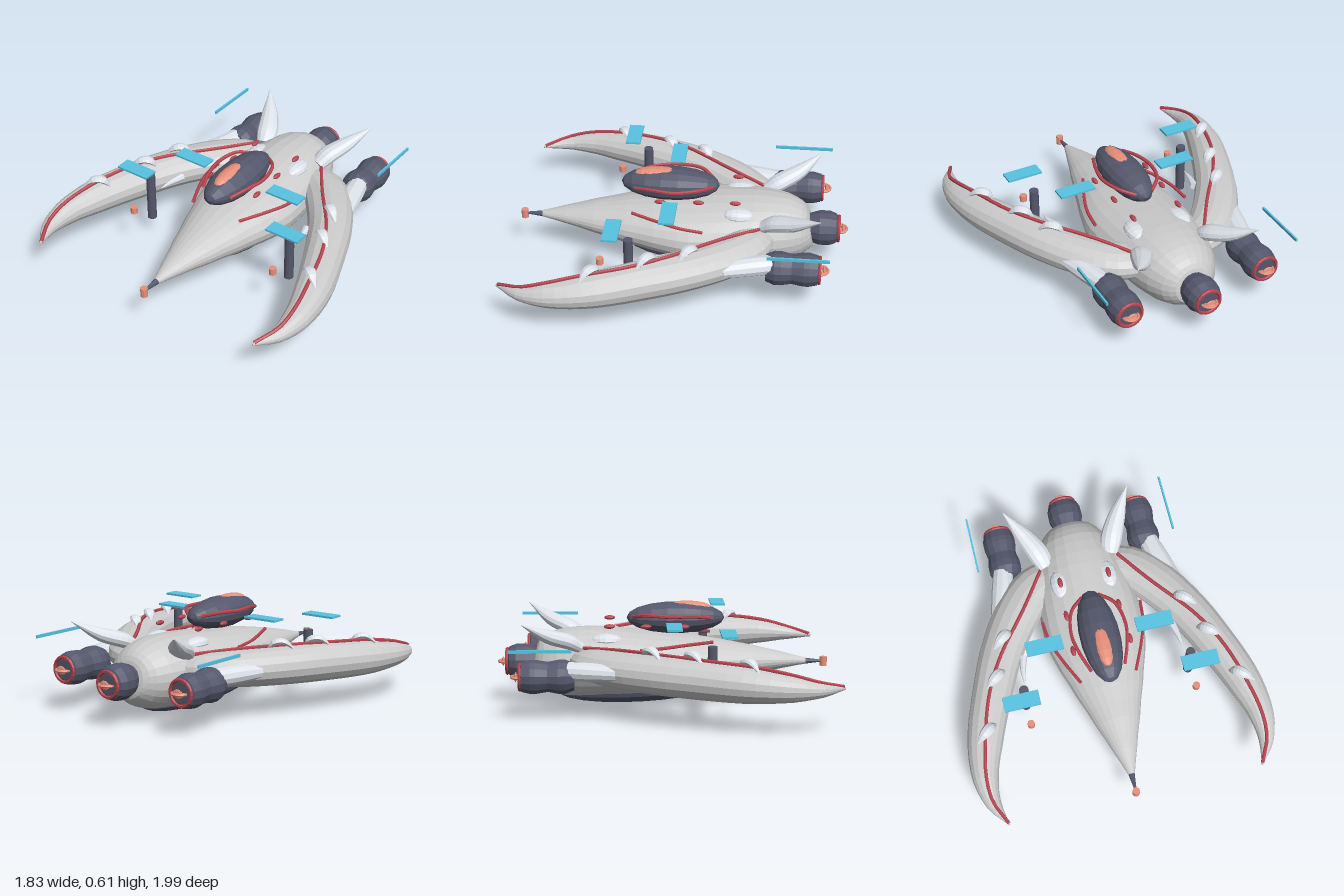
import * as THREE from 'three';

const mat = (color) => new THREE.MeshStandardMaterial({ color, flatShading: true, side: THREE.DoubleSide });
const grey = mat(0xcccccc), pale = mat(0xdde2ea), dark = mat(0x55586c);
const red = mat(0xb5444f), orange = mat(0xe8907a), blue = mat(0x58c4e4);
const V = (x, y, z) => new THREE.Vector3(x, y, z);

// Smooth loft of elliptical sections; each row is [x, y, z, halfWidth, halfHeight]
function loft(rows, steps, sides) {
  const path = new THREE.CatmullRomCurve3(rows.map((r) => V(r[0], r[1], r[2])));
  const size = new THREE.CatmullRomCurve3(rows.map((r) => V(r[3], r[4], 0)), false, 'catmullrom', 0.4);
  const pos = [], idx = [];
  for (let i = 0; i <= steps; i++) {
    const p = path.getPoint(i / steps), t = path.getTangent(i / steps);
    const s = size.getPoint(i / steps);
    const right = V(0, 1, 0).cross(t).normalize(), up = t.clone().cross(right);
    for (let j = 0; j < sides; j++) {
      const a = (j / sides) * Math.PI * 2;
      const q = p.clone()
        .addScaledVector(right, Math.cos(a) * Math.max(s.x, 0.002))
        .addScaledVector(up, Math.sin(a) * Math.max(s.y, 0.002));
      pos.push(q.x, q.y, q.z);
    }
  }
  const first = path.getPoint(0), last = path.getPoint(1), c = (steps + 1) * sides;
  pos.push(first.x, first.y, first.z, last.x, last.y, last.z);
  for (let j = 0; j < sides; j++) {
    const k = (j + 1) % sides, e = steps * sides;
    for (let i = 0; i < steps; i++) {
      const a = i * sides, b = a + sides;
      idx.push(a + j, a + k, b + j, a + k, b + k, b + j);
    }
    idx.push(c, k, j, c + 1, e + j, e + k);
  }
  const g = new THREE.BufferGeometry();
  g.setAttribute('position', new THREE.Float32BufferAttribute(pos, 3));
  g.setIndex(idx);
  g.computeVertexNormals();
  return g;
}

export function createModel() {
  const model = new THREE.Group();
  const add = (name, geo, material, x = 0, y = 0, z = 0, parent = model) => {
    const m = new THREE.Mesh(geo, material);
    m.name = name;
    m.position.set(x, y, z);
    parent.add(m);
    return m;
  };
  const ellipsoid = (rx, ry, rz, n = 16) =>
    new THREE.SphereGeometry(1, n, Math.max(8, n * 0.6 | 0)).rotateX(Math.PI / 2).scale(rx, ry, rz);
  const tube = (pts, r) => new THREE.TubeGeometry(new THREE.CatmullRomCurve3(pts), 28, r, 6);

  // Hull stations: z, half width, top, bottom
  const hull = [
    [-0.79, 0.03, 0.28, 0.22], [-0.765, 0.12, 0.36, 0.13], [-0.7, 0.185, 0.41, 0.075],
    [-0.6, 0.235, 0.445, 0.045], [-0.45, 0.275, 0.457, 0.04], [-0.25, 0.3, 0.445, 0.055],
    [-0.05, 0.307, 0.425, 0.07], [0.1, 0.278, 0.41, 0.09], [0.28, 0.22, 0.385, 0.115],
    [0.5, 0.145, 0.345, 0.155], [0.7, 0.075, 0.3, 0.195], [0.86, 0.02, 0.26, 0.222],
  ].map(([z, w, t, b]) => [0, (t + b) / 2, z, w, (t - b) / 2]);
  add('hull', loft(hull, 24, 24), grey);
  add('belly', ellipsoid(0.165, 0.085, 0.49, 20), dark, 0, 0.086, -0.14).rotation.x = -0.05;

  // Nose probe
  add('noseSpike', new THREE.CylinderGeometry(0.006, 0.021, 0.12, 8).rotateX(Math.PI / 2), dark, 0, 0.24, 0.9);
  add('noseLamp', new THREE.CylinderGeometry(0.022, 0.022, 0.055, 10), orange, 0, 0.238, 0.97);

  // Cockpit
  add('canopy', ellipsoid(0.12, 0.096, 0.293, 16), dark, 0, 0.512, 0.075);
  add('canopyGlow', ellipsoid(0.055, 0.04, 0.15, 14), orange, 0, 0.572, 0.14);

  // Engine pod: body, ring and glowing nozzle, facing -z
  function engine(name, x, z, profile) {
    const g = new THREE.Group();
    g.name = name;
    g.position.set(x, 0.25, z);
    model.add(g);
    const pts = profile.map(([r, d]) => new THREE.Vector2(r, d));
    const end = profile[profile.length - 1][1];
    add('engineBody', new THREE.LatheGeometry(pts, 14).rotateX(-Math.PI / 2), dark, 0, 0, 0, g);
    add('engineRing', new THREE.TorusGeometry(0.074, 0.011, 6, 20), red, 0, 0, -end, g);
    for (const r of [0.044, 0.028])
      add('nozzleArc', new THREE.TorusGeometry(r, 0.008, 6, 12, Math.PI).rotateX(-Math.PI / 2),
        orange, 0, 0, -end - 0.006, g);
    add('nozzleCore', ellipsoid(0.035, 0.028, 0.008, 10), orange, 0, 0, -end - 0.025, g);
  }
  engine('centreEngine', 0, -0.76,
    [[0, 0], [0.085, 0], [0.105, 0.06], [0.105, 0.12], [0.09, 0.16], [0.06, 0.175], [0, 0.175]]);

  for (const s of [1, -1]) {
    const side = s > 0 ? 'left' : 'right';
    const P = (x, y, z) => V(x * s, y, z);
    const mirror = (rows) => rows.map(([x, ...rest]) => [x * s, ...rest]);

    // Crescent wing, with a tube along its crest
    const wing = [
      [0.17, 0.28, -0.45, 0.12, 0.08], [0.3, 0.285, -0.4, 0.135, 0.095], [0.43, 0.285, -0.27, 0.14, 0.105],
      [0.575, 0.285, -0.05, 0.13, 0.11], [0.69, 0.28, 0.2, 0.12, 0.11], [0.785, 0.27, 0.45, 0.108, 0.1],
      [0.835, 0.26, 0.67, 0.08, 0.075], [0.825, 0.25, 0.84, 0.047, 0.042], [0.76, 0.247, 0.99, 0.004, 0.008],
    ];
    add(side + 'Wing', loft(mirror(wing), 26, 16), grey);
    add(side + 'WingPiping', tube([
      P(0.24, 0.375, -0.47), P(0.39, 0.39, -0.25), P(0.6, 0.398, 0.03), P(0.71, 0.392, 0.24),
      P(0.79, 0.372, 0.5), P(0.83, 0.335, 0.7), P(0.825, 0.295, 0.84), P(0.762, 0.257, 0.98)], 0.011), red);

    // Curved claws hugging the wing crest
    for (const [x, y, z] of [[0.77, 0.365, 0.455], [0.65, 0.385, 0.15], [0.56, 0.39, -0.08]])
      add(side + 'WingClaw', loft(mirror([
        [x - 0.062, y - 0.015, z - 0.045, 0.006, 0.006], [x - 0.03, y + 0.03, z - 0.025, 0.032, 0.018],
        [x + 0.015, y + 0.035, z + 0.01, 0.03, 0.018], [x + 0.07, y - 0.015, z + 0.05, 0.003, 0.003]]), 10, 8), pale);
    const thorn = loft(mirror([[0.46, 0.3, 0.02, 0.025, 0.025], [0.48, 0.3, 0.11, 0.016, 0.016],
      [0.488, 0.3, 0.19, 0.002, 0.002]]), 6, 8);
    add(side + 'WingThorn', thorn, pale);

    // Rear horn
    add(side + 'Horn', loft(mirror([
      [0.2, 0.37, -0.49, 0.05, 0.035], [0.225, 0.41, -0.56, 0.065, 0.045],
      [0.29, 0.455, -0.68, 0.052, 0.04], [0.385, 0.54, -0.82, 0.003, 0.003]]), 12, 12), pale);

    // Side engine and its strut
    engine(side + 'Engine', 0.44 * s, -0.52, [[0, 0], [0.08, 0], [0.1, 0.05], [0.1, 0.09], [0.088, 0.15],
      [0.1, 0.22], [0.1, 0.25], [0.088, 0.3], [0.06, 0.31], [0, 0.31]]);
    add(side + 'EngineStrut', loft(mirror([[0.46, 0.285, -0.55, 0.06, 0.055], [0.49, 0.285, -0.42, 0.068, 0.055],
      [0.54, 0.285, -0.27, 0.055, 0.045]]), 6, 12), pale);

    // Blue panels and fin
    add(side + 'InnerPanel', new THREE.BoxGeometry(0.22, 0.012, 0.09), blue, 0.332 * s, 0.512, 0.057);
    add(side + 'OuterPanel', new THREE.BoxGeometry(0.215, 0.012, 0.09), blue, 0.535 * s, 0.512, 0.357);
    add(side + 'FinBar', new THREE.BoxGeometry(0.011, 0.018, 0.355), blue, 0.607 * s, 0.431, -0.705);

    // Posts and lamps
    add(side + 'Post', new THREE.CylinderGeometry(0.028, 0.028, 0.31, 12), dark, 0.505 * s, 0.28, 0.268);
    add(side + 'Lamp', new THREE.CylinderGeometry(0.022, 0.022, 0.04, 10), orange, 0.505 * s, 0.276, 0.435);

    // Red conduits around canopy and hull
    add(side + 'CanopyPiping', tube([P(0.1, 0.525, 0.28), P(0.14, 0.54, 0.17), P(0.163, 0.542, 0.04),
      P(0.13, 0.545, -0.1), P(0.05, 0.525, -0.18)], 0.011), red);
    add(side + 'HullPiping', tube([P(0.302, 0.37, -0.14), P(0.285, 0.38, 0), P(0.24, 0.388, 0.13),
      P(0.168, 0.392, 0.29)], 0.01), red);

    // Red nodules and pale plates on the back
    for (const [x, z] of [[0.172, 0.12], [0.16, -0.105], [0.148, -0.32]])
      add(side + 'Nodule', ellipsoid(0.015, 0.014, 0.033, 10), red, x * s, 0.485, z);
    add(side + 'BackPlate', ellipsoid(0.06, 0.04, 0.095, 12), pale, 0.145 * s, 0.402, -0.34);
  }
  return model;
}
